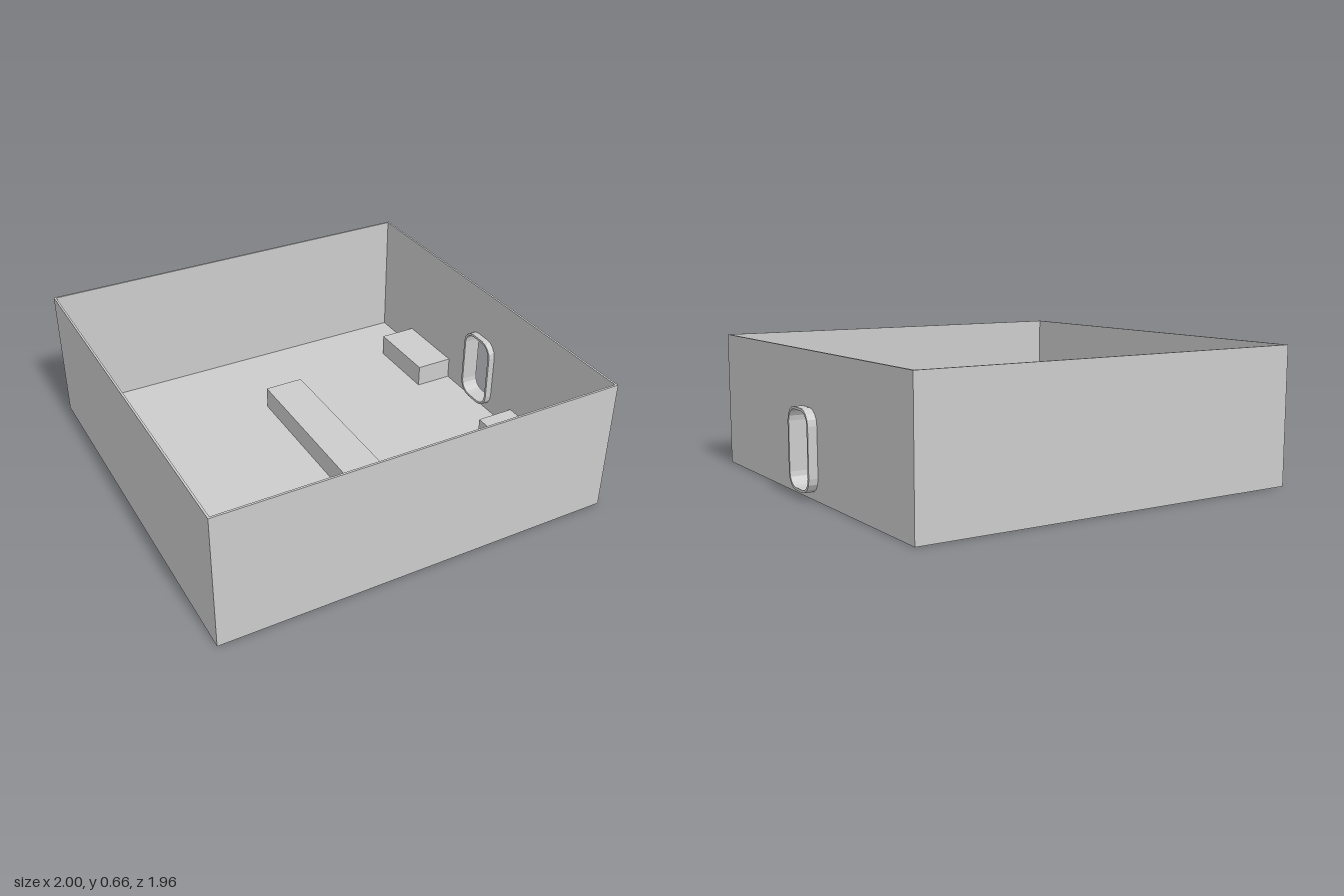
import * as THREE from 'three';

const material = new THREE.MeshStandardMaterial({ color: 0xcccccc, flatShading: true });

const LEFT = -1, RIGHT = 0.957, DEPTH = 0.982, HEIGHT = 0.663, WALL = 0.01;
const BLOCK_TOP = 0.122;

// Box given by its lower and upper limits on each axis
function block(name, [x0, x1], [y0, y1], [z0, z1]) {
  const mesh = new THREE.Mesh(new THREE.BoxGeometry(x1 - x0, y1 - y0, z1 - z0), material);
  mesh.position.set((x0 + x1) / 2, (y0 + y1) / 2, (z0 + z1) / 2);
  mesh.name = name;
  return mesh;
}

// Upright rounded rectangle; inset shrinks it evenly
function opening(PathType, inset) {
  const r = 0.073 - inset, w = 0.111 - 0.073, y0 = 0.032 + 0.073, y1 = 0.41 - 0.073;
  const path = new PathType();
  path.absarc(w, y1, r, 0, Math.PI / 2);
  path.absarc(-w, y1, r, Math.PI / 2, Math.PI);
  path.absarc(-w, y0, r, Math.PI, Math.PI * 1.5);
  path.absarc(w, y0, r, Math.PI * 1.5, Math.PI * 2);
  path.closePath();
  return path;
}

// Extrudes a z/y outline along x
function extrudeAlongX(name, shape, x0, x1) {
  const geometry = new THREE.ExtrudeGeometry(shape, { depth: x1 - x0, bevelEnabled: false, curveSegments: 2 });
  geometry.rotateY(Math.PI / 2);
  const mesh = new THREE.Mesh(geometry, material);
  mesh.position.x = x0;
  mesh.name = name;
  return mesh;
}

export function createModel() {
  const model = new THREE.Group();
  model.name = 'openTray';

  // Floor and three plain walls
  const inner = DEPTH - WALL;
  model.add(
    block('floor', [LEFT, RIGHT], [0, WALL], [-DEPTH, DEPTH]),
    block('frontWall', [LEFT, RIGHT], [WALL, HEIGHT], [inner, DEPTH]),
    block('backWall', [LEFT, RIGHT], [WALL, HEIGHT], [-DEPTH, -inner]),
    block('plainSideWall', [LEFT, LEFT + WALL], [WALL, HEIGHT], [-inner, inner])
  );

  // Side wall pierced by the rounded opening
  const wall = new THREE.Shape([
    new THREE.Vector2(-inner, WALL), new THREE.Vector2(inner, WALL),
    new THREE.Vector2(inner, HEIGHT), new THREE.Vector2(-inner, HEIGHT)
  ]);
  wall.holes.push(opening(THREE.Path, 0));
  model.add(extrudeAlongX('piercedSideWall', wall, RIGHT - WALL, RIGHT));

  // Thin sleeve lining the opening and standing out on both sides
  const sleeve = opening(THREE.Shape, 0);
  sleeve.holes.push(opening(THREE.Path, 0.012));
  model.add(extrudeAlongX('openingSleeve', sleeve, 0.914, 1));

  // Blocks on the floor
  const y = [WALL, BLOCK_TOP];
  model.add(
    block('longBlock', [LEFT + WALL, -0.795], y, [-0.77, 0.805]),
    block('middleBlock', [-0.07, 0.13], y, [-0.483, 0.512])
  );
  for (const [name, z] of [['backShortBlock', [-0.668, -0.283]], ['frontShortBlock', [0.283, 0.668]]]) {
    model.add(block(name, [0.755, RIGHT - WALL], y, z));
  }
  return model;
}
